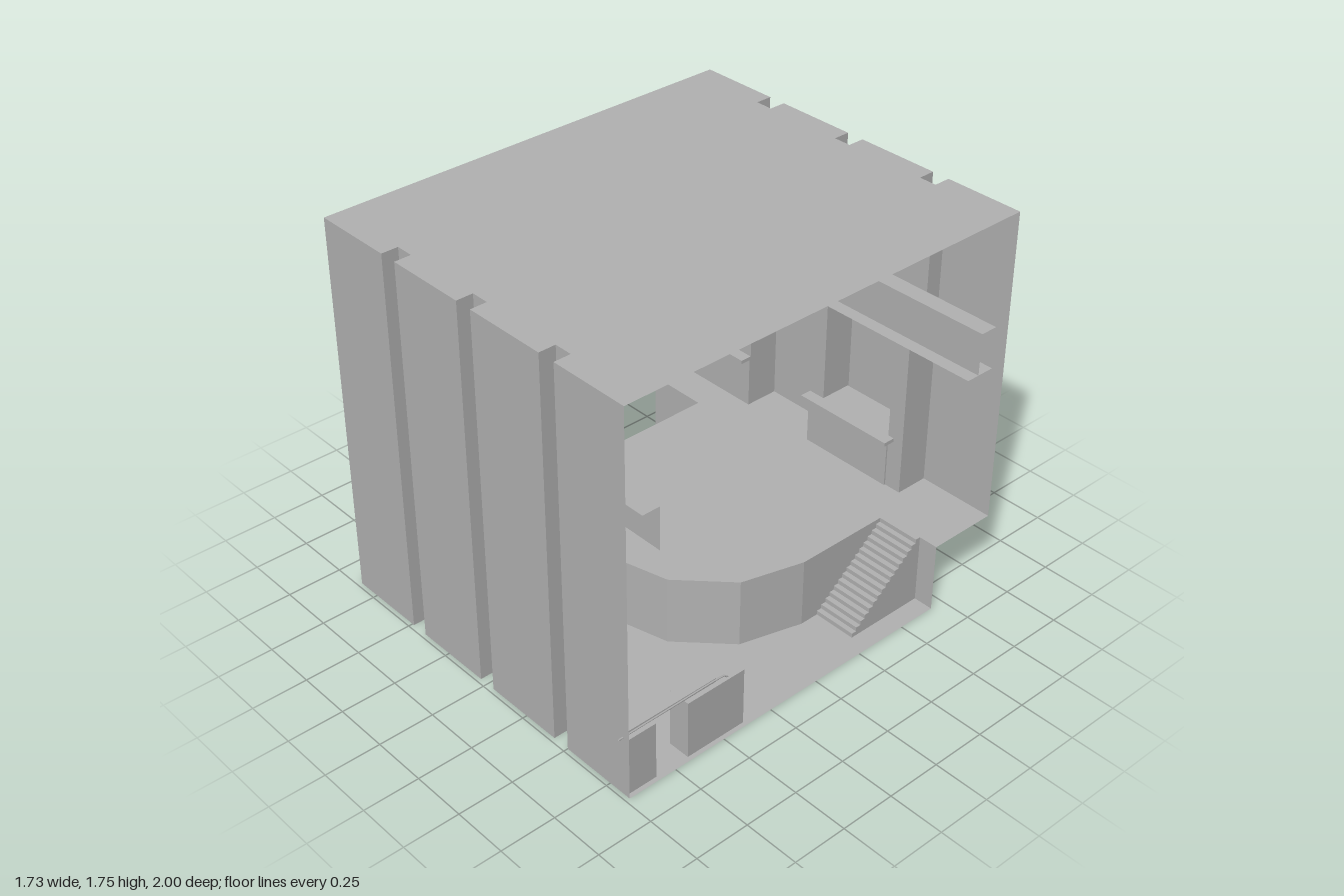
import * as THREE from 'three';

const grey = new THREE.MeshStandardMaterial({ color: 0xb2b2b2, side: THREE.DoubleSide });
grey.name = 'plain grey';

const W = 0.86, FRONT = 0.98, BACK = -1, TOP = 1.75, LEDGE = 1.27, BEAM_LOW = 1.08, UPPER = 0.32;
const GROOVES = [[-0.49, -0.41], [-0.04, 0.04], [0.42, 0.5]];

export function createModel() {
  const group = new THREE.Group();

  const add = (name, geometry, x = 0, y = 0, z = 0) => {
    const mesh = new THREE.Mesh(geometry, grey);
    mesh.name = name;
    mesh.position.set(x, y, z);
    group.add(mesh);
    return mesh;
  };
  const box = (name, x0, x1, y0, y1, z0, z1) =>
    add(name, new THREE.BoxGeometry(x1 - x0, y1 - y0, z1 - z0), (x0 + x1) / 2, (y0 + y1) / 2, (z0 + z1) / 2);

  // upright sheet following a plan line of [x, z] points
  const upright = (name, plan, y0, y1) => {
    const p = [];
    for (let i = 0; i + 1 < plan.length; i++) {
      const [ax, az] = plan[i], [bx, bz] = plan[i + 1];
      p.push(ax, y0, az, bx, y0, bz, bx, y1, bz, ax, y0, az, bx, y1, bz, ax, y1, az);
    }
    const g = new THREE.BufferGeometry();
    g.setAttribute('position', new THREE.Float32BufferAttribute(p, 3));
    g.computeVertexNormals();
    return add(name, g);
  };

  // level sheet bounded by a plan outline of [x, z] points
  const level = (name, plan, y) => {
    const shape = new THREE.Shape(plan.map(([x, z]) => new THREE.Vector2(x, z)));
    return add(name, new THREE.ShapeGeometry(shape).rotateX(Math.PI / 2), 0, y, 0);
  };
  const plate = (name, x0, x1, z0, z1, y) =>
    level(name, [[x0, z0], [x1, z0], [x1, z1], [x0, z1]], y);

  // plan line of a wall with three grooves pushed into the room
  const grooved = (z, inner) => {
    const plan = [[-W, z]];
    for (const [a, b] of GROOVES) plan.push([a, z], [a, inner], [b, inner], [b, z]);
    plan.push([W, z]);
    return plan;
  };

  // front and back walls, with hollow pilasters and a beam
  const wall = (side, z, dir, base) => {
    const shallow = z + dir * 0.075, deep = z + dir * 0.155;
    upright(side + 'WallLower', grooved(z, deep), base, LEDGE);
    upright(side + 'WallUpper', grooved(z, shallow), LEDGE, TOP);
    upright(side + 'BeamFace', [[-W, deep], [W, deep]], BEAM_LOW, LEDGE);
    plate(side + 'BeamTop', -W, W, shallow, deep, LEDGE);
    let x = -W;
    for (const [a, b] of [...GROOVES, [W, W]]) {
      plate(side + 'BeamUnderside', x, a, shallow, deep, BEAM_LOW);
      x = b;
    }
  };
  wall('front', FRONT, -1, 0);
  wall('back', BACK, 1, UPPER);
  plate('backBeamLedge', -W, W, -0.845, -0.785, BEAM_LOW);

  // ceiling and the two floor levels
  level('ceiling', [...grooved(FRONT, FRONT - 0.075), ...grooved(BACK, BACK + 0.075).reverse()], TOP);
  level('lowerFloor', [...grooved(FRONT, FRONT - 0.155), [W, -0.68], [-W, -0.68]], 0);
  level('upperFloor', [[-W, -0.68], [W, -0.68], ...grooved(BACK, BACK + 0.155).reverse()], UPPER);
  upright('floorRiser', [[-W, -0.68], [W, -0.68]], 0, UPPER);

  // faceted round platform
  const edge = [[0.57, -0.68]];
  for (let i = 0; i <= 6; i++) {
    const a = (i * Math.PI) / 6;
    edge.push([0.57 * Math.cos(a), -0.21 + 0.56 * Math.sin(a)]);
  }
  edge.push([-0.57, -0.68]);
  level('platformTop', edge, UPPER);
  upright('platformSide', edge, 0, UPPER);

  // stairs beside the platform
  const steps = 16, run = 0.38 / steps, rise = UPPER / steps;
  const profile = new THREE.Shape();
  profile.moveTo(0.3, 0);
  for (let i = 0; i < steps; i++) {
    profile.lineTo(0.3 + i * run, (i + 1) * rise);
    profile.lineTo(0.3 + (i + 1) * run, (i + 1) * rise);
  }
  profile.lineTo(0.68, 0);
  const stairs = new THREE.ExtrudeGeometry(profile, { depth: 0.2, bevelEnabled: false });
  add('stairs', stairs.rotateY(Math.PI / 2), 0.57, 0, 0);

  // counters between the back pilasters
  for (const [x0, x1] of [[-0.865, -0.41], [-0.04, 0.42]]) {
    box('counterBody', x0, x1, UPPER, 0.555, -0.995, -0.838);
    box('counterTop', x0, x1 + (x0 > -0.5 ? 0.03 : 0), 0.555, 0.572, -0.995, -0.79);
  }

  // bench by the front wall: two blocks, a bent sheet and a slim rail
  box('benchBlock', 0.74, 0.84, 0, 0.268, 0.38, 0.67);
  box('benchBlock', 0.74, 0.84, 0, 0.268, 0.83, 0.978);
  box('benchSeat', 0.76, 0.82, 0.27, 0.288, 0.51, 0.975);
  box('benchBack', 0.76, 0.82, 0.28, 1.24, 0.962, 0.976);
  const rail = new THREE.CatmullRomCurve3([[0.28, 1], [0.283, 0.75], [0.283, 0.48], [0.278, 0.46], [0.265, 0.453]]
    .map(([y, z]) => new THREE.Vector3(0.825, y, z)));
  add('benchRail', new THREE.TubeGeometry(rail, 20, 0.004, 6));

  return group;
}
